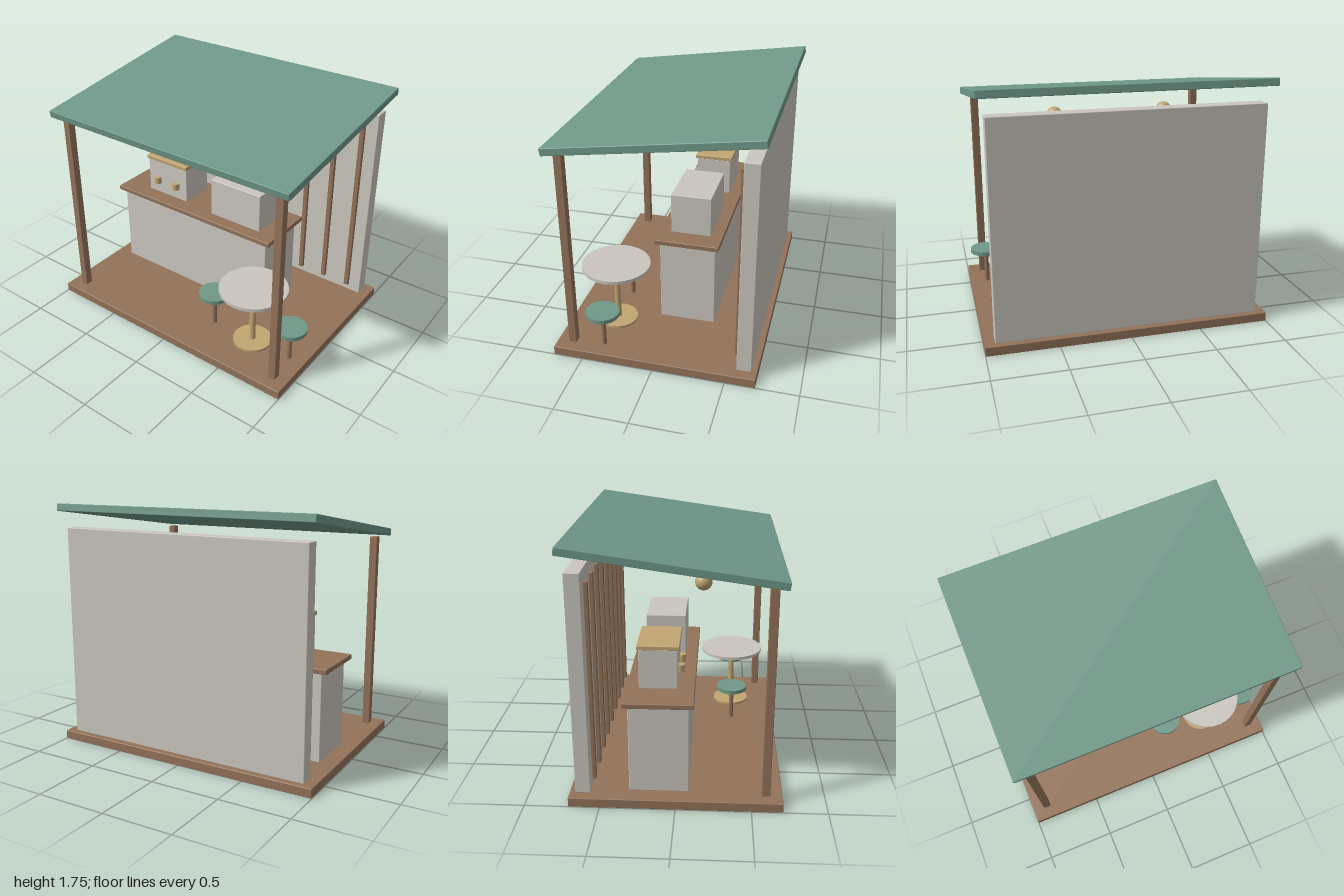
import * as THREE from 'three';
import { RoundedBoxGeometry } from 'three/addons/geometries/RoundedBoxGeometry.js';

const paint = (name, color) => {
  const m = new THREE.MeshStandardMaterial({ color });
  m.name = name;
  return m;
};

export function createModel() {
  const wood = paint('wood', 0x93735a);
  const plaster = paint('plaster', 0xcbc7bf);
  const green = paint('green', 0x6f9889);
  const brass = paint('brass', 0xc2a672);

  const model = new THREE.Group();
  model.name = 'cafeKiosk';

  const add = (name, geometry, material, x, y, z, parent = model) => {
    const mesh = new THREE.Mesh(geometry, material);
    mesh.name = name;
    mesh.position.set(x, y, z);
    parent.add(mesh);
    return mesh;
  };
  // Softly bevelled box given by its extents on each axis
  const box = (name, material, [x0, x1], [y0, y1], [z0, z1], parent) =>
    add(name, new RoundedBoxGeometry(x1 - x0, y1 - y0, z1 - z0, 1, 0.005), material,
      (x0 + x1) / 2, (y0 + y1) / 2, (z0 + z1) / 2, parent);
  // Upright cylinder from y0 to y1
  const disc = (name, material, r, x, y0, y1, z, parent) =>
    add(name, new THREE.CylinderGeometry(r, r, y1 - y0, 32), material, x, (y0 + y1) / 2, z, parent);

  const floorY = 0.065;

  // Floor, back wall and roof
  box('floor', wood, [-1, 1], [0, floorY], [-0.707, 0.707]);
  box('backWall', plaster, [-0.93, 0.93], [floorY, 1.58], [-0.668, -0.566]);
  const roof = box('roof', green, [-0.985, 0.985], [1.601, 1.653], [-0.713, 0.687]);
  roof.rotation.x = 0.14;

  // Front posts
  for (const s of [-1, 1]) {
    box(s > 0 ? 'leftPost' : 'rightPost', wood,
      [s * 0.89 - 0.028, s * 0.89 + 0.028], [floorY, 1.5], [0.569, 0.625]);
  }

  // Wall slats
  for (let i = -4; i <= 4; i++) {
    const x = i * 0.206;
    box('wallSlat', wood, [x - 0.018, x + 0.018], [0.12, 1.5], [-0.567, -0.538]);
  }

  // Counter
  box('counterBody', plaster, [-0.882, 0.464], [floorY, 0.69], [-0.313, 0.085]);
  box('counterTop', wood, [-0.925, 0.507], [0.69, 0.725], [-0.343, 0.117]);

  // Coffee machine with lid and knobs
  const machine = new THREE.Group();
  machine.name = 'coffeeMachine';
  model.add(machine);
  box('machineBody', plaster, [-0.692, -0.322], [0.725, 1.0], [-0.255, 0.003], machine);
  box('machineLid', brass, [-0.7, -0.314], [1.0, 1.03], [-0.267, 0.015], machine);
  for (const x of [-0.596, -0.417]) disc('knob', brass, 0.028, x, 0.815, 0.866, 0.018, machine);

  // Display case
  box('displayCase', plaster, [-0.065, 0.368], [0.725, 1.02], [-0.26, 0.028]);

  // Round table
  const table = new THREE.Group();
  table.name = 'table';
  model.add(table);
  disc('tableFoot', brass, 0.14, 0.566, floorY, 0.085, 0.378, table);
  disc('tablePole', brass, 0.022, 0.566, 0.08, 0.512, 0.378, table);
  disc('tableTop', plaster, 0.243, 0.566, 0.511, 0.535, 0.378, table);

  // Stools
  for (const x of [0.228, 0.876]) {
    const stool = new THREE.Group();
    stool.name = 'stool';
    model.add(stool);
    disc('stoolLeg', wood, 0.017, x, floorY, 0.312, 0.378, stool);
    disc('stoolSeat', green, 0.115, x, 0.31, 0.34, 0.378, stool);
  }

  // Globe lamps
  for (const x of [-0.488, 0.35]) {
    add('globeLamp', new THREE.SphereGeometry(0.058, 32, 20), brass, x, 1.408, 0.163);
  }

  return model;
}
